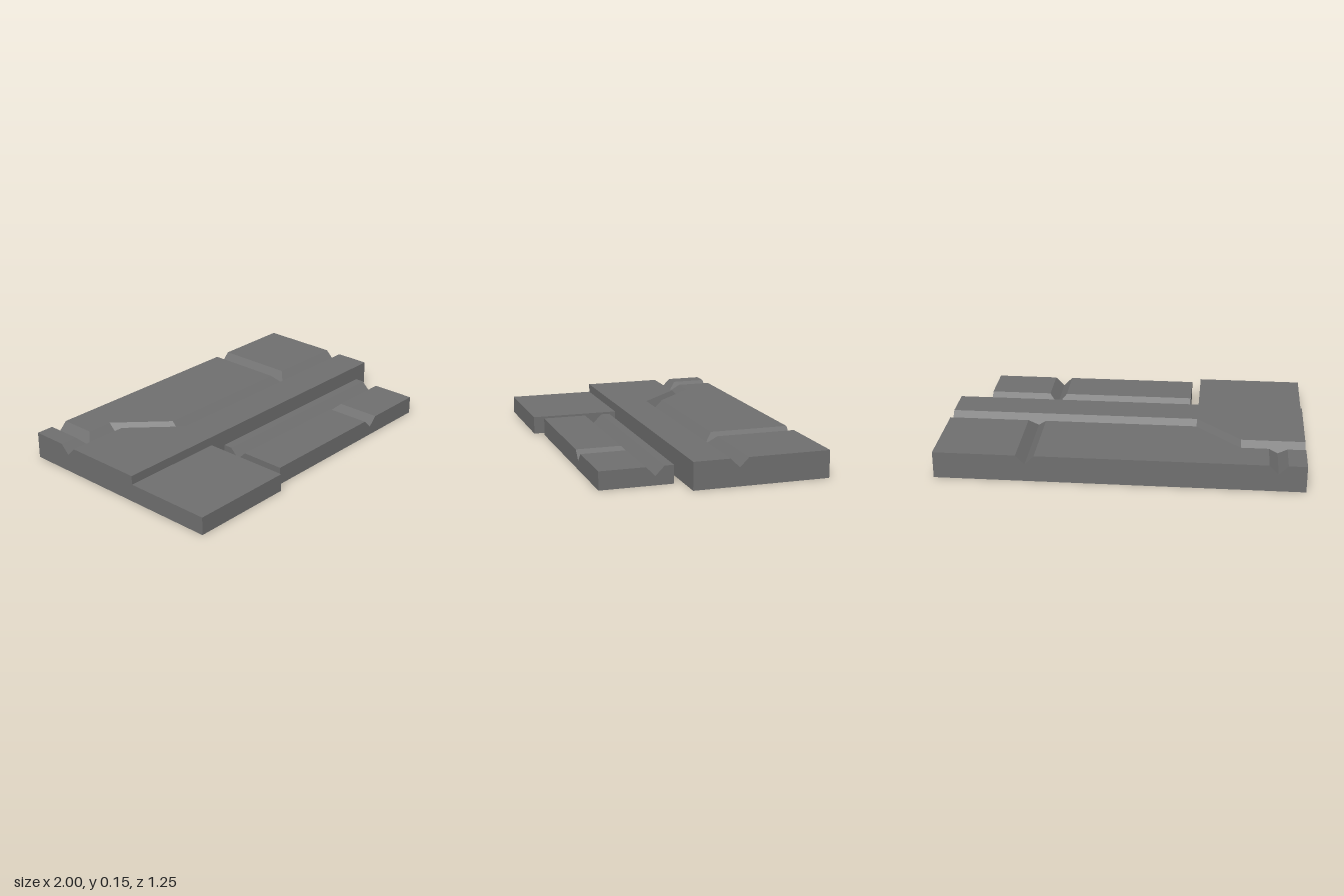
import * as THREE from 'three';

const material = new THREE.MeshStandardMaterial({ color: 0x707070, flatShading: true, side: THREE.DoubleSide });
const W = 0.05; // half width and depth of every V groove

// Adds a flat polygon to a triangle list, wound to face along `axis` (0 x, 1 y, 2 z) with sign `dir`
function addFace(out, points, axis, dir) {
  const [u, v] = [[1, 2], [2, 0], [0, 1]][axis];
  const flat = points.map((p) => new THREE.Vector2(p[u], p[v]));
  for (const [a, b, c] of THREE.ShapeUtils.triangulateShape(flat, [])) {
    const turn = flat[b].clone().sub(flat[a]).cross(flat[c].clone().sub(flat[a]));
    const order = turn * dir > 0 ? [a, b, c] : [a, c, b];
    order.forEach((i) => out.push(...points[i]));
  }
}

function makeMesh(name, triangles) {
  const geometry = new THREE.BufferGeometry();
  geometry.setAttribute('position', new THREE.Float32BufferAttribute(triangles, 3));
  geometry.computeVertexNormals();
  const mesh = new THREE.Mesh(geometry, material);
  mesh.name = name;
  return mesh;
}

// Hollow slab, open below, with one long V groove along `path` ([x, z] points)
// and side grooves running from `branches` ([x, z] on the path) to the edge zBranch
function groovedSlab(name, { h, path, branches, zBranch, zPlain, plainWall }) {
  const top = [], groove = [], walls = [];
  const s = Math.sign(zBranch - zPlain);
  const x0 = path[0][0], x1 = path[path.length - 1][0];

  // Plate and sloping groove side between two stops
  const addPanel = (floor, rim, zEdge) => {
    const a = rim[0], b = rim[rim.length - 1];
    addFace(top, [...rim, [b[0], h, zEdge], [a[0], h, zEdge]], 1, 1);
    for (let i = 0; i + 1 < rim.length; i++) {
      addFace(groove, [rim[i], rim[i + 1], floor[i + 1], floor[i]], 1, 1);
    }
  };
  const floorOf = (nodes) => nodes.map(([x, z]) => [x, h - W, z]);

  // Plain side
  addPanel(floorOf(path), path.map(([x, z]) => [x, h, z - s * W]), zPlain);

  // Branched side, one panel between each pair of side grooves
  const stops = [path[0], ...branches, path[path.length - 1]];
  for (let i = 0; i + 1 < stops.length; i++) {
    const l = stops[i], r = stops[i + 1];
    const nodes = [l, ...path.filter(([x]) => x > l[0] && x < r[0]), r];
    const rim = nodes.map(([x, z]) => [x, h, z + s * W]);
    if (i > 0) rim[0][0] += W;
    if (i + 2 < stops.length) rim[rim.length - 1][0] -= W;
    addPanel(floorOf(nodes), rim, zBranch);
  }

  // Sides of the side grooves
  for (const [x, z] of branches) {
    for (const d of [-W, W]) {
      addFace(groove, [[x + d, h, zBranch], [x, h - W, zBranch], [x, h - W, z], [x + d, h, z + s * W]], 1, 1);
    }
  }

  // Notched end walls
  for (const [[x, z], dir] of [[path[0], -1], [path[path.length - 1], 1]]) {
    addFace(walls, [[x, 0, zPlain], [x, h, zPlain], [x, h, z - s * W], [x, h - W, z],
      [x, h, z + s * W], [x, h, zBranch], [x, 0, zBranch]], 0, dir);
  }

  // Notched wall on the branched side, plain wall opposite
  const notches = branches.flatMap(([x]) => [[x - W, h], [x, h - W], [x + W, h]]);
  const outline = [[x0, 0], [x0, h], ...notches, [x1, h], [x1, 0]];
  addFace(walls, outline.map(([x, y]) => [x, y, zBranch]), 2, s);
  addFace(walls, plainWall.map(([x, y]) => [x, y, zPlain]), 2, -s);

  const group = new THREE.Group();
  group.name = name;
  group.add(makeMesh('topPlates', top), makeMesh('grooves', groove), makeMesh('sideWalls', walls));
  return group;
}

export function createModel() {
  const model = new THREE.Group();
  model.name = 'groovedTiles';

  // Large slab with the stepped groove
  model.add(groovedSlab('mainSlab', {
    h: 0.15,
    path: [[-1, -0.375], [-0.65, -0.375], [-0.4, -0.125], [1, -0.125]],
    branches: [[-0.85, -0.375], [0.5, -0.125]],
    zBranch: -0.625,
    zPlain: 0.125,
    plainWall: [[-1, 0.1], [-1, 0.15], [1, 0.15], [1, 0], [-0.4, 0], [-0.4, 0.1]],
  }));

  // Small separate slab in front
  model.add(groovedSlab('smallSlab', {
    h: 0.1,
    path: [[-0.35, 0.275], [0.85, 0.275]],
    branches: [[0.45, 0.275]],
    zBranch: 0.575,
    zPlain: 0.175,
    plainWall: [[-0.35, 0], [-0.35, 0.1], [0.85, 0.1], [0.85, 0]],
  }));

  // Low plain step joined to the large slab, open below and at the back
  const step = [];
  const [xa, xb, za, zb, h] = [-1, -0.4, 0.125, 0.625, 0.1];
  addFace(step, [[xa, h, za], [xb, h, za], [xb, h, zb], [xa, h, zb]], 1, 1);
  addFace(step, [[xa, 0, zb], [xb, 0, zb], [xb, h, zb], [xa, h, zb]], 2, 1);
  for (const [x, dir] of [[xa, -1], [xb, 1]]) {
    addFace(step, [[x, 0, za], [x, 0, zb], [x, h, zb], [x, h, za]], 0, dir);
  }
  model.add(makeMesh('lowStep', step));

  return model;
}
